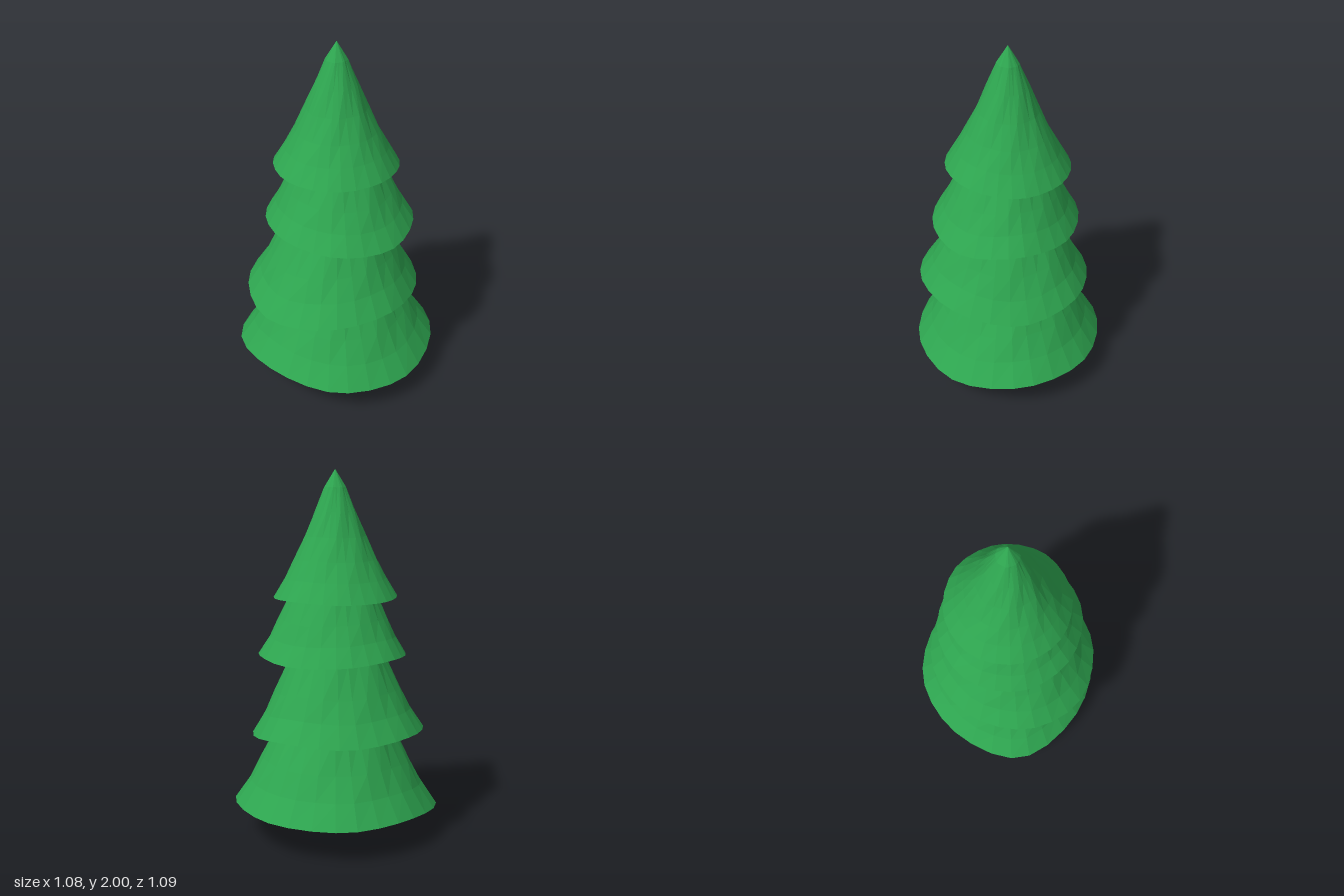
import * as THREE from 'three';

const leafMaterial = new THREE.MeshStandardMaterial({ color: 0x2ea650, flatShading: true });
const trunkMaterial = new THREE.MeshStandardMaterial({ color: 0xcccccc, flatShading: true });

// Closed solid from a rim outline and a profile of [rise, scale] steps.
// The rim's uneven height fades out as the rings shrink towards the axis.
function loft(rim, profile, height, axis, ripple) {
  const n = rim.length;
  const base = rim.reduce((sum, p) => sum + p.y, 0) / n;
  const positions = [];
  const index = [];
  profile.forEach(([rise, scale], j) => {
    rim.forEach((p, i) => {
      const s = scale * (1 + ripple * Math.sin(i * 1.7 + j * 2.3) * (1 - scale));
      positions.push(
        axis.x + (p.x - axis.x) * s,
        base + rise * height + (p.y - base) * scale,
        axis.z + (p.z - axis.z) * s
      );
    });
  });
  for (let j = 0; j < profile.length - 1; j++) {
    for (let i = 0; i < n; i++) {
      const a = j * n + i, b = j * n + (i + 1) % n;
      const c = a + n, d = b + n;
      if (profile[j][1] > 0) index.push(a, c, b);
      if (profile[j + 1][1] > 0) index.push(b, c, d);
    }
  }
  const geometry = new THREE.BufferGeometry();
  geometry.setAttribute('position', new THREE.Float32BufferAttribute(positions, 3));
  geometry.setIndex(index);
  geometry.computeVertexNormals();
  return geometry;
}

// Wavy rim: an ellipse within the given bounds, its height following eight
// values that start at +x and turn towards +z; bulge pushes out the back right
function wavyRim([xMin, xMax, zMin, zMax], heights, bulge) {
  const points = heights.map((y, i) => {
    const angle = (i / heights.length) * Math.PI * 2;
    const reach = i === 5 ? bulge : 1;
    return new THREE.Vector3(
      (xMin + xMax) / 2 + ((xMax - xMin) / 2) * Math.cos(angle) * reach,
      y,
      (zMin + zMax) / 2 + ((zMax - zMin) / 2) * Math.sin(angle) * reach
    );
  });
  return new THREE.CatmullRomCurve3(points, true).getPoints(28).slice(0, -1);
}

const skirtProfile = [[0, 0], [0, 1], [0.2, 0.85], [0.4, 0.73], [0.7, 0.56], [1, 0.36], [1.1, 0]];
const tipProfile = [[0, 0], [0, 1], [0.15, 0.82], [0.3, 0.66], [0.48, 0.49], [0.67, 0.33],
  [0.86, 0.17], [1, 0]];
const trunkProfile = [[0, 0], [0, 1], [1, 0.75], [1, 0]];

export function createModel() {
  const tree = new THREE.Group();
  tree.name = 'tree';

  // Overlapping tiers of branches
  const treeAxis = new THREE.Vector3(-0.012, 0, -0.012);
  const addTier = (name, bounds, heights, profile, height, bulge = 1) => {
    const rim = wavyRim(bounds, heights, bulge);
    const tier = new THREE.Mesh(loft(rim, profile, height, treeAxis, 0.04), leafMaterial);
    tier.name = name;
    tree.add(tier);
  };
  addTier('bottomBranches', [-0.54, 0.54, -0.545, 0.545],
    [0.19, 0.195, 0.16, 0.17, 0.195, 0.14, 0.18, 0.18], skirtProfile, 0.62, 1.1);
  addTier('lowerMiddleBranches', [-0.54, 0.45, -0.48, 0.455],
    [0.6, 0.565, 0.595, 0.585, 0.555, 0.58, 0.6, 0.585], skirtProfile, 0.57);
  addTier('upperMiddleBranches', [-0.41, 0.385, -0.405, 0.42],
    [0.99, 1.01, 0.982, 0.995, 1.015, 1.005, 1.015, 0.995], skirtProfile, 0.5);
  addTier('topBranches', [-0.35, 0.325, -0.35, 0.32],
    [1.32, 1.32, 1.337, 1.335, 1.335, 1.33, 1.315, 1.31], tipProfile, 0.675);

  // Tapered five-sided trunk
  const corners = [[0.08, -0.04], [0.07, 0.075], [-0.115, 0.09], [-0.12, -0.04], [-0.04, -0.14]]
    .map(([x, z]) => new THREE.Vector3(x, 0, z));
  const trunkAxis = new THREE.Vector3(-0.02, 0, -0.02);
  const trunk = new THREE.Mesh(loft(corners, trunkProfile, 0.3, trunkAxis, 0), trunkMaterial);
  trunk.name = 'trunk';
  tree.add(trunk);

  return tree;
}
